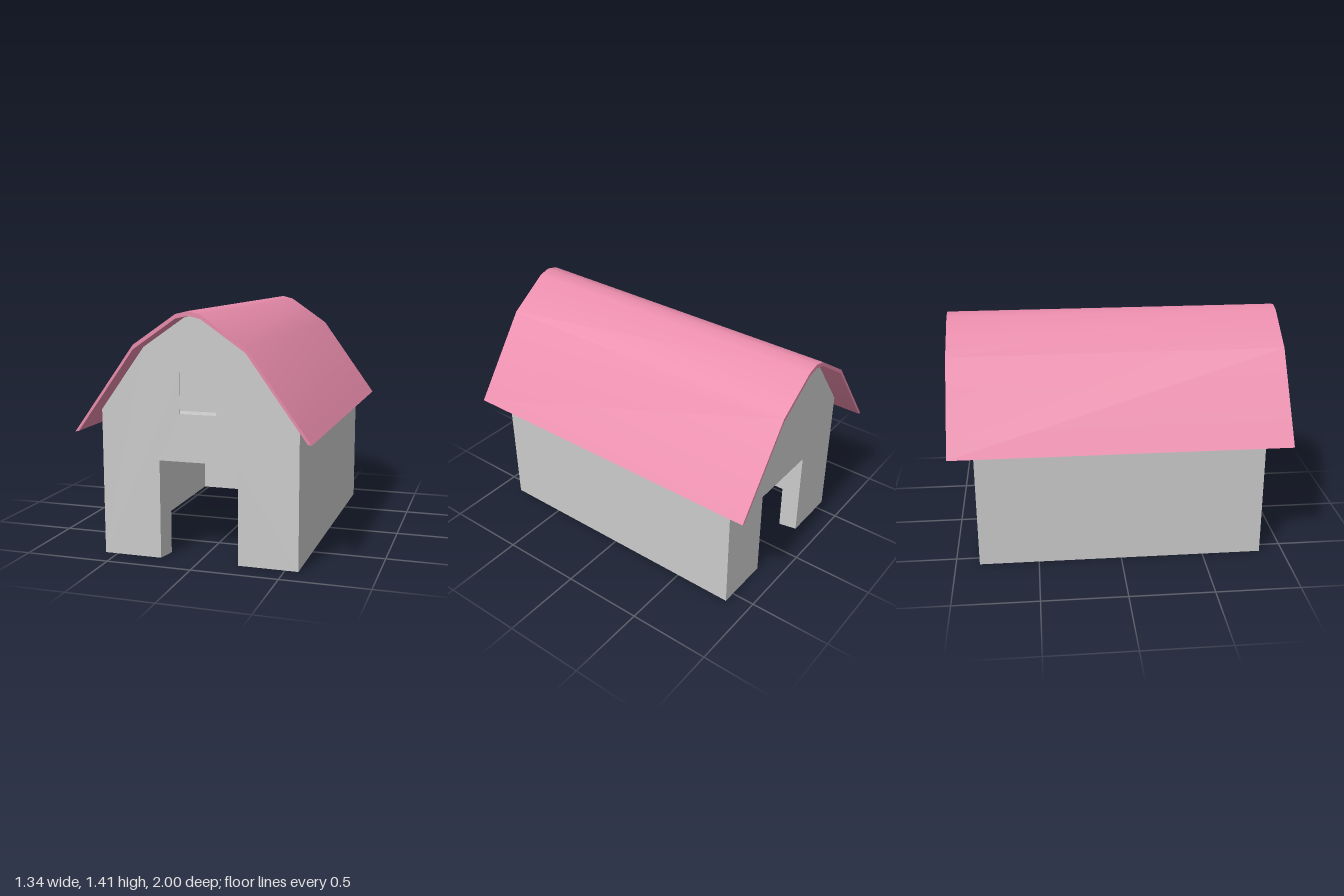
import * as THREE from 'three';
import { toCreasedNormals } from 'three/addons/utils/BufferGeometryUtils.js';

const GREY = new THREE.MeshStandardMaterial({ color: 0xcccccc });
const PINK = new THREE.MeshStandardMaterial({ color: 0xe88bab });

const WALL_X = 0.575, WALL_Z = 0.857, EAVE_Y = 0.845;
const END_T = 0.11, SIDE_T = 0.045;
const DOOR_OUT = 0.23, DOOR_IN = 0.208, DOOR_Y = 0.57;

// Right half of the curb roof, from the ridge down (underside and top)
const UNDER = [[0, 1.39], [0.07, 1.374], [0.315, 1.205], [0.65, 0.742]];
const OVER = [[0, 1.415], [0.07, 1.398], [0.315, 1.23], [0.672, 0.737]];

const toShape = (pts) => new THREE.Shape(pts.map(([x, y]) => new THREE.Vector2(x, y)));
const flip = (pts) => pts.map(([x, y]) => [-x, y]);
// Full profile from right eave over the ridge to left eave
const arch = (half) => [...half.slice().reverse(), ...flip(half.slice(1))];

function add(parent, name, geometry, material) {
  const mesh = new THREE.Mesh(geometry, material);
  mesh.name = name;
  parent.add(mesh);
  return mesh;
}

// One layer of an end wall between depths d0 and d1 behind its outer face
function wallLayer(d0, d1, windowHalf) {
  const half = [[DOOR_OUT, DOOR_Y], [DOOR_OUT, 0], [WALL_X, 0], [WALL_X, EAVE_Y], [0.315, 1.205], [0.07, 1.374]];
  const shape = toShape([...half, [0, 1.39], ...flip(half).reverse()]);
  if (windowHalf) {
    const w = windowHalf;
    shape.holes.push(new THREE.Path([[-w, 0.84], [-w, 1.07], [w, 1.07], [w, 0.84]].map(([x, y]) => new THREE.Vector2(x, y))));
  }
  const geo = new THREE.ExtrudeGeometry(shape, { depth: d1 - d0, bevelEnabled: false });
  geo.translate(0, 0, -d1);
  // Splay the door jambs: wide outside, narrower inside
  const p = geo.attributes.position;
  for (let i = 0; i < p.count; i++) {
    const x = p.getX(i);
    if (Math.abs(Math.abs(x) - DOOR_OUT) < 1e-4 && p.getY(i) < DOOR_Y + 0.01) {
      p.setX(i, Math.sign(x) * (DOOR_OUT + (DOOR_IN - DOOR_OUT) * (-p.getZ(i) / END_T)));
    }
  }
  geo.computeVertexNormals();
  return geo;
}

export function createModel() {
  const barn = new THREE.Group();
  barn.name = 'barn';

  // Front wall: face with a loft window, a wider pocket behind it, closed at the back
  const front = new THREE.Group();
  front.name = 'frontWall';
  front.position.z = WALL_Z;
  add(front, 'frontWallFace', wallLayer(0, 0.005, 0.107), GREY);
  add(front, 'windowPocket', wallLayer(0.005, 0.1, 0.2), GREY);
  add(front, 'frontWallBacking', wallLayer(0.1, END_T, 0), GREY);
  barn.add(front);

  // Back wall: door only
  const back = add(barn, 'backWall', wallLayer(0, END_T, 0), GREY);
  back.rotation.y = Math.PI;
  back.position.z = -WALL_Z;

  // Side walls
  const sideLength = 2 * (WALL_Z - END_T);
  for (const [name, s] of [['leftWall', 1], ['rightWall', -1]]) {
    const wall = add(barn, name, new THREE.BoxGeometry(SIDE_T, EAVE_Y, sideLength), GREY);
    wall.position.set(s * (WALL_X - SIDE_T / 2), EAVE_Y / 2, 0);
  }

  // Roof sheet, overhanging on all sides
  const roofShape = toShape([...arch(OVER), ...arch(UNDER).reverse()]);
  const roof = new THREE.ExtrudeGeometry(roofShape, { depth: 2, bevelEnabled: false });
  roof.translate(0, 0, -1);
  add(barn, 'roof', toCreasedNormals(roof, Math.PI / 4), PINK);

  return barn;
}
